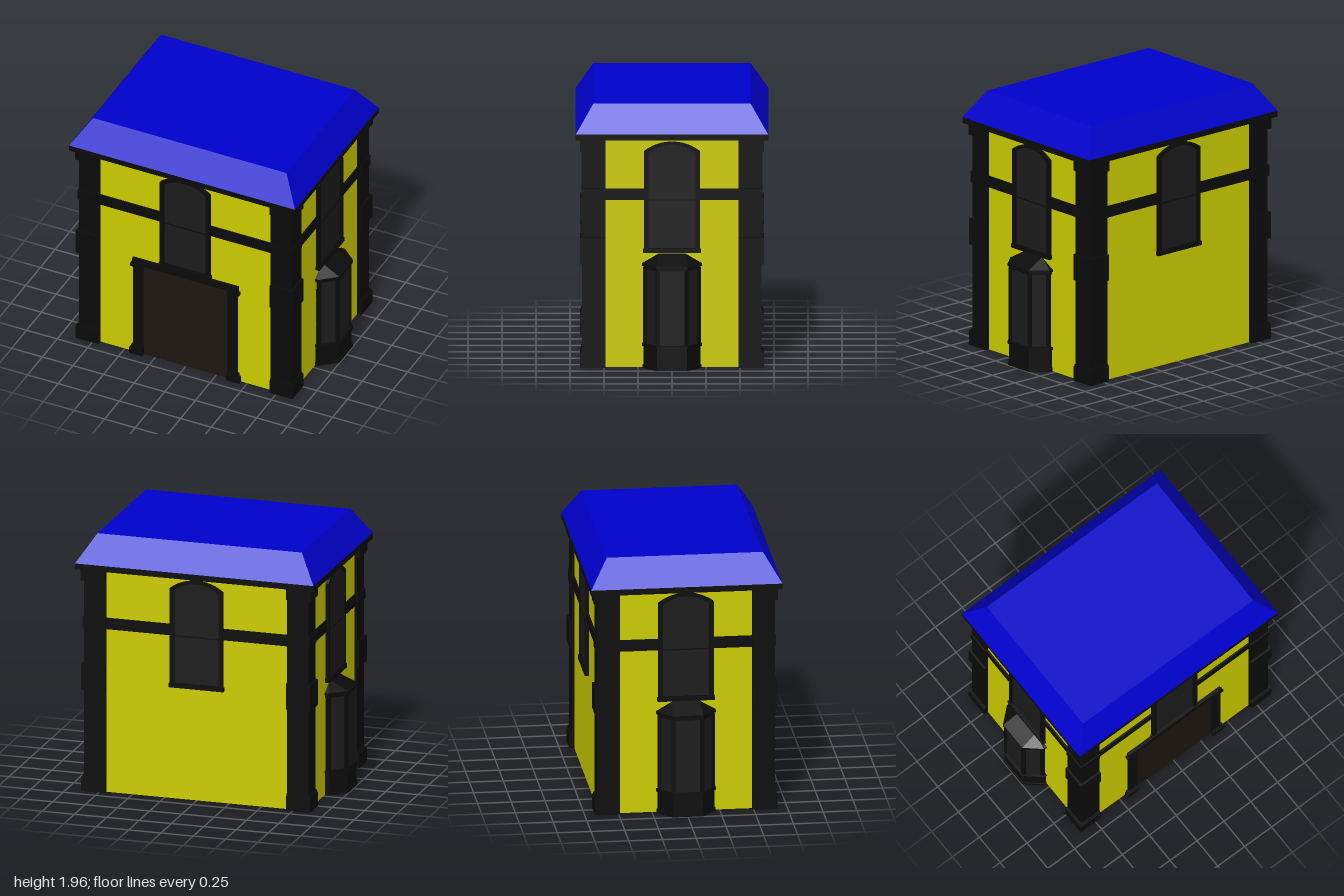
import * as THREE from 'three';
import { ConvexGeometry } from 'three/addons/geometries/ConvexGeometry.js';

const mat = (color) => new THREE.MeshStandardMaterial({ color, side: THREE.DoubleSide });
const M = {
  wall: mat(0xcccc00), roof: mat(0x0000cc), trim: mat(0x0b0b0b),
  glass: mat(0x1b1b1b), door: mat(0x1c1510),
};

function add(parent, name, geometry, material) {
  const mesh = new THREE.Mesh(geometry, material);
  mesh.name = name;
  parent.add(mesh);
  return mesh;
}

// Box given by its limits on each axis
function box(parent, name, material, [x0, x1], [y0, y1], [z0, z1]) {
  const g = new THREE.BoxGeometry(x1 - x0, y1 - y0, z1 - z0);
  g.translate((x0 + x1) / 2, (y0 + y1) / 2, (z0 + z1) / 2);
  return add(parent, name, g, material);
}

const polygon = (pts) => new THREE.Shape(pts.map(([x, y]) => new THREE.Vector2(x, y)));

// Upright prism over a plan outline of [x, z] points
function prism(parent, name, material, plan, y0, y1) {
  const g = new THREE.ExtrudeGeometry(polygon(plan.map(([x, z]) => [x, -z])), { depth: y1 - y0, bevelEnabled: false });
  g.rotateX(-Math.PI / 2).translate(0, y0, 0);
  return add(parent, name, g, material);
}

// Rectangle with a segmental arched top
function arched(w, y0, spring, top) {
  const rise = top - spring, r = (w * w + rise * rise) / (2 * rise), a = Math.asin(w / r);
  const pts = [[-w, y0], [w, y0]];
  for (let i = 0; i <= 12; i++) {
    const t = a - (2 * a * i) / 12;
    pts.push([r * Math.sin(t), top - r + r * Math.cos(t)]);
  }
  return pts;
}

// Wall sheet at z = 0, with an optional notch rising from the ground
function wall(parent, half, notchHalf, notchTop) {
  const pts = [[-half, 0]];
  if (notchHalf) pts.push([-notchHalf, 0], [-notchHalf, notchTop], [notchHalf, notchTop], [notchHalf, 0]);
  pts.push([half, 0], [half, 1.72], [-half, 1.72]);
  add(parent, 'wall', new THREE.ShapeGeometry(polygon(pts)), M.wall);
}

function archedWindow(parent) {
  const g = new THREE.Group();
  g.name = 'archedWindow';
  parent.add(g);
  const frame = polygon(arched(0.205, 0.87, 1.62, 1.69));
  frame.holes.push(new THREE.Path(polygon(arched(0.172, 0.895, 1.605, 1.668)).getPoints()));
  add(g, 'windowFrame', new THREE.ExtrudeGeometry(frame, { depth: 0.025, bevelEnabled: false }), M.trim);
  const pane = new THREE.ShapeGeometry(polygon(arched(0.18, 0.88, 1.605, 1.672)));
  add(g, 'windowPane', pane.translate(0, 0, 0.012), M.glass);
  box(g, 'windowBar', M.trim, [-0.175, 0.175], [1.25, 1.26], [0.005, 0.016]);
  box(g, 'windowSill', M.trim, [-0.212, 0.212], [0.86, 0.89], [-0.005, 0.032]);
}

function doorway(parent) {
  const g = new THREE.Group();
  g.name = 'doorway';
  parent.add(g);
  box(g, 'doorPanel', M.door, [-0.35, 0.35], [0, 0.815], [-0.012, 0.003]);
  for (const s of [-1, 1]) {
    const span = (a, b) => (s > 0 ? [a, b] : [-b, -a]);
    box(g, 'doorPost', M.trim, span(0.345, 0.425), [0, 0.82], [-0.012, 0.02]);
    box(g, 'postBase', M.trim, span(0.342, 0.45), [0, 0.05], [-0.012, 0.035]);
    box(g, 'postBaseCap', M.trim, span(0.344, 0.438), [0.05, 0.075], [-0.012, 0.028]);
    box(g, 'postCapital', M.trim, span(0.345, 0.445), [0.79, 0.815], [-0.012, 0.03]);
  }
  box(g, 'doorLintel', M.trim, [-0.43, 0.43], [0.81, 0.86], [-0.012, 0.028]);
}

function bayWindow(parent) {
  const g = new THREE.Group();
  g.name = 'bayWindow';
  parent.add(g);
  // Half-hexagon plan, grown outward by e
  const plan = (e) => [[-0.21 - e, 0], [-0.21 - e, 0.025 + e * 0.5], [-0.11 - e * 0.5, 0.14 + e],
    [0.11 + e * 0.5, 0.14 + e], [0.21 + e, 0.025 + e * 0.5], [0.21 + e, 0]];
  prism(g, 'bayPlinth', M.trim, plan(0.007), 0, 0.025);
  prism(g, 'bayBase', M.trim, plan(0), 0.025, 0.17);
  prism(g, 'baySill', M.trim, plan(0.01), 0.165, 0.185);
  prism(g, 'bayGlass', M.glass, plan(-0.012), 0.185, 0.765);
  prism(g, 'bayHead', M.trim, plan(0), 0.745, 0.768);
  prism(g, 'bayEave', M.trim, plan(0.01), 0.765, 0.782);
  for (const s of [-1, 1]) {
    for (const [x, z] of [[0.105, 0.126], [0.196, 0.022]]) {
      const post = add(g, 'bayPost', new THREE.BoxGeometry(0.028, 0.57, 0.026), M.trim);
      post.position.set(s * x, 0.47, z);
      post.rotation.y = s * 0.4;
    }
  }
  const roofPts = plan(0.01).map(([x, z]) => new THREE.Vector3(x, 0.78, z));
  roofPts.push(new THREE.Vector3(-0.1, 0.85, 0), new THREE.Vector3(0.1, 0.85, 0));
  add(g, 'bayRoof', new ConvexGeometry(roofPts), M.trim);
}

export function createModel() {
  const model = new THREE.Group();
  model.name = 'house';
  const W = 0.85, D = 0.64;

  // Four sides, each built facing +z and turned into place
  const sides = [['frontSide', 0], ['leftSide', 1], ['backSide', 2], ['rightSide', 3]];
  for (const [name, turn] of sides) {
    const side = new THREE.Group();
    const gable = turn % 2 === 1;
    const half = gable ? D : W, out = gable ? W : D;
    side.name = name;
    side.rotation.y = (turn * Math.PI) / 2;
    side.position.set([0, out, 0, -out][turn], 0, [out, 0, -out, 0][turn]);
    model.add(side);
    if (gable) wall(side, half, 0.2, 0.76);
    else if (turn === 0) wall(side, half, 0.38, 0.83);
    else wall(side, half);
    for (const s of [-1, 1]) {
      const x = [0.19, half - 0.1];
      box(side, 'wallBand', M.trim, s > 0 ? x : [-x[1], -x[0]], [1.255, 1.34], [-0.005, 0.014]);
    }
    archedWindow(side);
    if (turn === 0) doorway(side);
    if (gable) bayWindow(side);
  }

  // Corner pillars, with collars that step outward only
  const collars = [['pillarShaft', 0, 1.715, 0], ['pillarBase', 0, 0.11, 0.018], ['pillarBaseCap', 0.11, 0.125, 0.01],
    ['pillarCollar', 0.775, 0.975, 0.017], ['pillarBand', 1.255, 1.34, 0.008], ['pillarCapital', 1.62, 1.715, 0.02]];
  for (const sx of [-1, 1]) for (const sz of [-1, 1]) {
    const pillar = new THREE.Group();
    pillar.name = 'cornerPillar';
    model.add(pillar);
    for (const [name, y0, y1, e] of collars) {
      const x = [sx * 0.7, sx * (0.868 + e)].sort((a, b) => a - b);
      const z = [sz * 0.49, sz * (0.658 + e)].sort((a, b) => a - b);
      box(pillar, name, M.trim, x, [y0, y1], z);
    }
  }

  // Eave slab and flat-topped hipped roof
  box(model, 'eave', M.trim, [-0.922, 0.922], [1.71, 1.755], [-0.708, 0.708]);
  const pts = [];
  for (const sx of [-1, 1]) for (const sz of [-1, 1]) {
    pts.push(new THREE.Vector3(sx * 0.922, 1.755, sz * 0.708), new THREE.Vector3(sx * 0.79, 1.963, sz * 0.578));
  }
  add(model, 'roof', new ConvexGeometry(pts), M.roof);
  return model;
}
